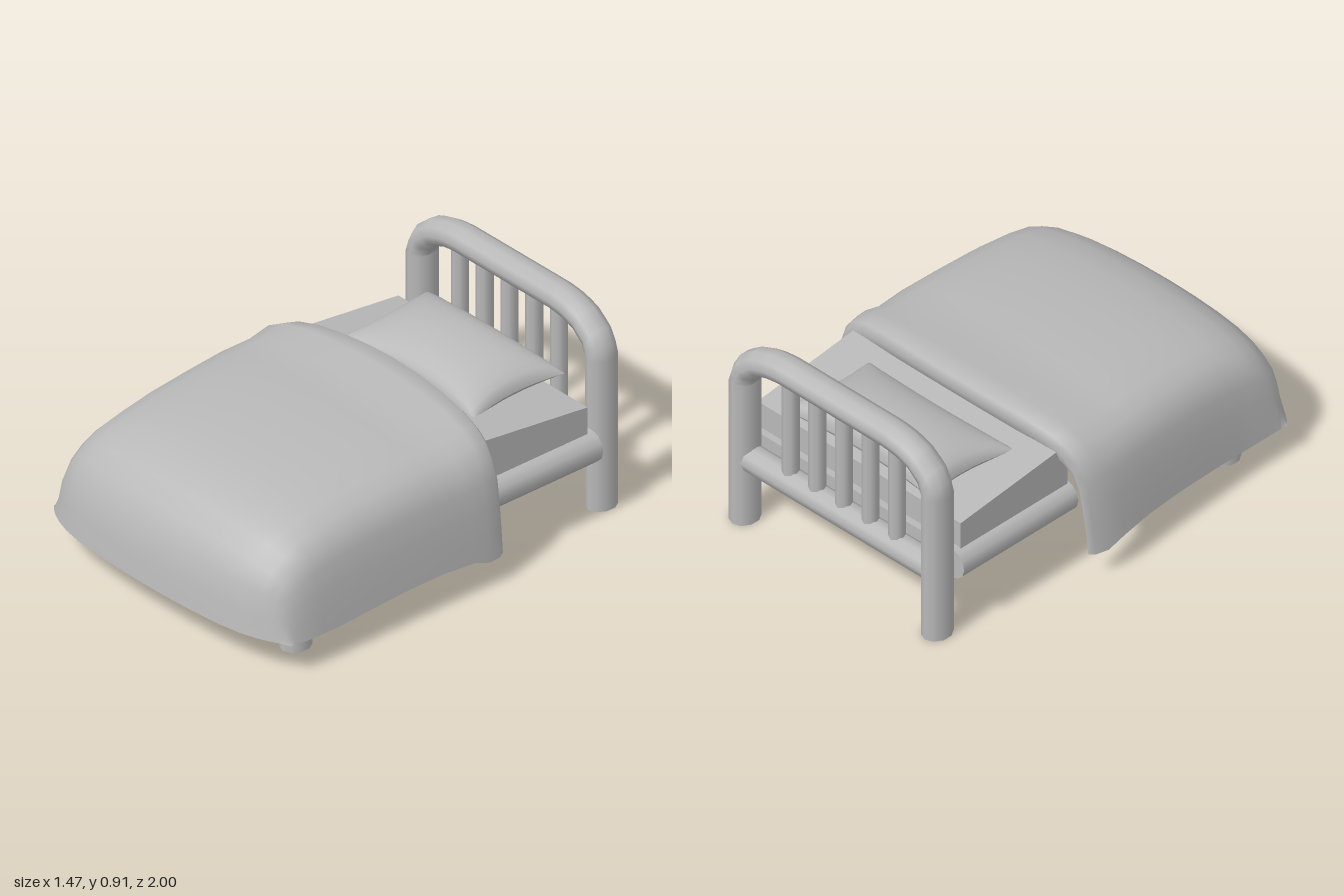
import * as THREE from 'three';
import { mergeVertices } from 'three/addons/utils/BufferGeometryUtils.js';

const CX = 0.015; // the frame sits slightly off centre

export function createModel() {
  const bed = new THREE.Group();
  bed.name = 'bed';
  const grey = new THREE.MeshStandardMaterial({ color: 0xb8b8b8, side: THREE.DoubleSide });
  grey.name = 'plain grey';

  const add = (name, geometry, x = 0, y = 0, z = 0) => {
    const mesh = new THREE.Mesh(geometry, grey);
    mesh.name = name;
    mesh.position.set(x, y, z);
    bed.add(mesh);
    return mesh;
  };

  // Surface from a grid of points, point(row, column) -> [x, y, z]
  const surface = (rows, cols, point) => {
    const pos = [], index = [];
    for (let r = 0; r < rows; r++) for (let c = 0; c < cols; c++) pos.push(...point(r, c));
    for (let r = 0; r < rows - 1; r++) {
      for (let c = 0; c < cols - 1; c++) {
        const a = r * cols + c, b = a + 1, d = a + cols, e = d + 1;
        index.push(a, d, b, b, d, e);
      }
    }
    const g = new THREE.BufferGeometry();
    g.setAttribute('position', new THREE.Float32BufferAttribute(pos, 3));
    g.setIndex(index);
    g.computeVertexNormals();
    return g;
  };

  // Headboard: one bent tube forming both posts and the top rail
  const half = [[0.535, 0], [0.535, 0.35], [0.535, 0.7], [0.505, 0.765], [0.445, 0.815], [0.38, 0.84], [0.3, 0.852]];
  const path = new THREE.CurvePath();
  const bend = [
    ...half.map(([x, y]) => new THREE.Vector3(-x, y, 0)),
    ...half.slice().reverse().map(([x, y]) => new THREE.Vector3(x, y, 0)),
  ];
  for (let i = 1; i < bend.length; i++) path.add(new THREE.LineCurve3(bend[i - 1], bend[i]));
  const tube = new THREE.TubeGeometry(path, 64, 0.06, 10);
  tube.scale(1, 1, 1.17);
  add('headboardTube', tube, CX, 0, -0.93);

  // Headboard bars and lower cross rail
  for (let i = -2; i <= 2; i++) {
    add('headboardBar', new THREE.CylinderGeometry(0.036, 0.036, 0.54, 8, 1, true), i * 0.148, 0.56, -0.93);
  }
  const crossRail = new THREE.CylinderGeometry(0.06, 0.06, 1.04, 10);
  crossRail.rotateZ(Math.PI / 2);
  add('crossRail', crossRail, CX, 0.31, -0.93);

  // Bed base with rounded side rails
  add('bedBase', new THREE.BoxGeometry(1.1, 0.14, 0.64), 0.02, 0.31, -0.54);
  for (const side of [-1, 1]) {
    const rail = new THREE.CylinderGeometry(0.07, 0.07, 0.64, 12);
    rail.rotateX(Math.PI / 2);
    add('sideRail', rail, 0.02 + side * 0.55, 0.31, -0.54);
    add('footLeg', new THREE.CylinderGeometry(0.062, 0.062, 0.31, 10, 1, true), CX + side * 0.535, 0.155, 0.68)
      .scale.z = 1.13;
  }

  // Mattress: a box whose top rises toward the foot
  const mattress = new THREE.BoxGeometry(1.13, 0.16, 0.6);
  const mp = mattress.attributes.position;
  for (let i = 0; i < mp.count; i++) {
    if (mp.getY(i) > 0) mp.setY(i, mp.getZ(i) > 0 ? 0.13 : 0.06);
  }
  mattress.computeVertexNormals();
  add('mattress', mattress, CX, 0.44, -0.53);

  // Pillow: two domed sheets with pinched sides and pointed corners
  const N = 17;
  const pillowSheet = (sign) => surface(N, N, (r, c) => {
    const u = Math.sin((c / (N - 1) - 0.5) * Math.PI);
    const v = Math.sin((r / (N - 1) - 0.5) * Math.PI);
    const puff = Math.pow((1 - u * u) * (1 - v * v), 0.42);
    const x = 0.41 * u * (1 - 0.09 * (1 - v * v) * Math.abs(u));
    const z = 0.24 * v * (1 - 0.15 * (1 - u * u) * Math.abs(v));
    const height = sign > 0 ? 0.115 - 0.02 * v : 0.05;
    return [x, 0.555 - 0.012 * v + sign * height * puff, -0.62 + z];
  });
  add('pillowTop', pillowSheet(1));
  add('pillowUnderside', pillowSheet(-1));

  // Blanket: cross-sections from the folded head edge to the drooping foot hem.
  // Each row: z, top height, hem height, right width, left width, bow of the row
  const rows = [
    [-0.315, 0.575, 0.13, 0.69, 0.70, 0.06],
    [-0.350, 0.635, 0.12, 0.70, 0.715, 0.085],
    [-0.325, 0.665, 0.115, 0.715, 0.73, 0.085],
    [-0.230, 0.680, 0.115, 0.73, 0.735, 0.05],
    [-0.100, 0.645, 0.145, 0.735, 0.735, 0],
    [0.060, 0.655, 0.16, 0.72, 0.735, 0],
    [0.250, 0.648, 0.16, 0.705, 0.735, 0],
    [0.450, 0.637, 0.15, 0.69, 0.735, 0],
    [0.620, 0.613, 0.14, 0.68, 0.735, -0.02],
    [0.740, 0.583, 0.14, 0.68, 0.735, -0.05],
    [0.830, 0.537, 0.14, 0.68, 0.735, -0.08],
    [0.900, 0.475, 0.14, 0.68, 0.73, -0.1],
    [0.960, 0.380, 0.14, 0.68, 0.725, -0.13],
    [0.985, 0.260, 0.145, 0.68, 0.725, -0.14],
    [1.000, 0.160, 0.145, 0.69, 0.73, -0.14],
  ];
  // Half section: distance out, height fraction
  const section = [[0, 1], [0.2, 0.995], [0.4, 0.98], [0.58, 0.955], [0.73, 0.91], [0.83, 0.845], [0.9, 0.74], [0.94, 0.6], [0.965, 0.4], [0.985, 0.2], [1, 0]];
  const columns = [
    ...section.slice(1).reverse().map(([x, h]) => [-x, h]),
    ...section,
  ];
  const blanket = surface(rows.length, columns.length, (r, c) => {
    const [z, top, hem, wRight, wLeft, bow] = rows[r];
    const [s, h] = columns[c];
    const x = s * (s < 0 ? wRight : wLeft);
    const curve = bow * (bow < 0 ? 0.35 * s * s + 0.65 * s ** 6 : s * s);
    return [x, hem + (top - hem) * h, z + curve];
  });
  add('blanket', mergeVertices(blanket));

  return bed;
}
